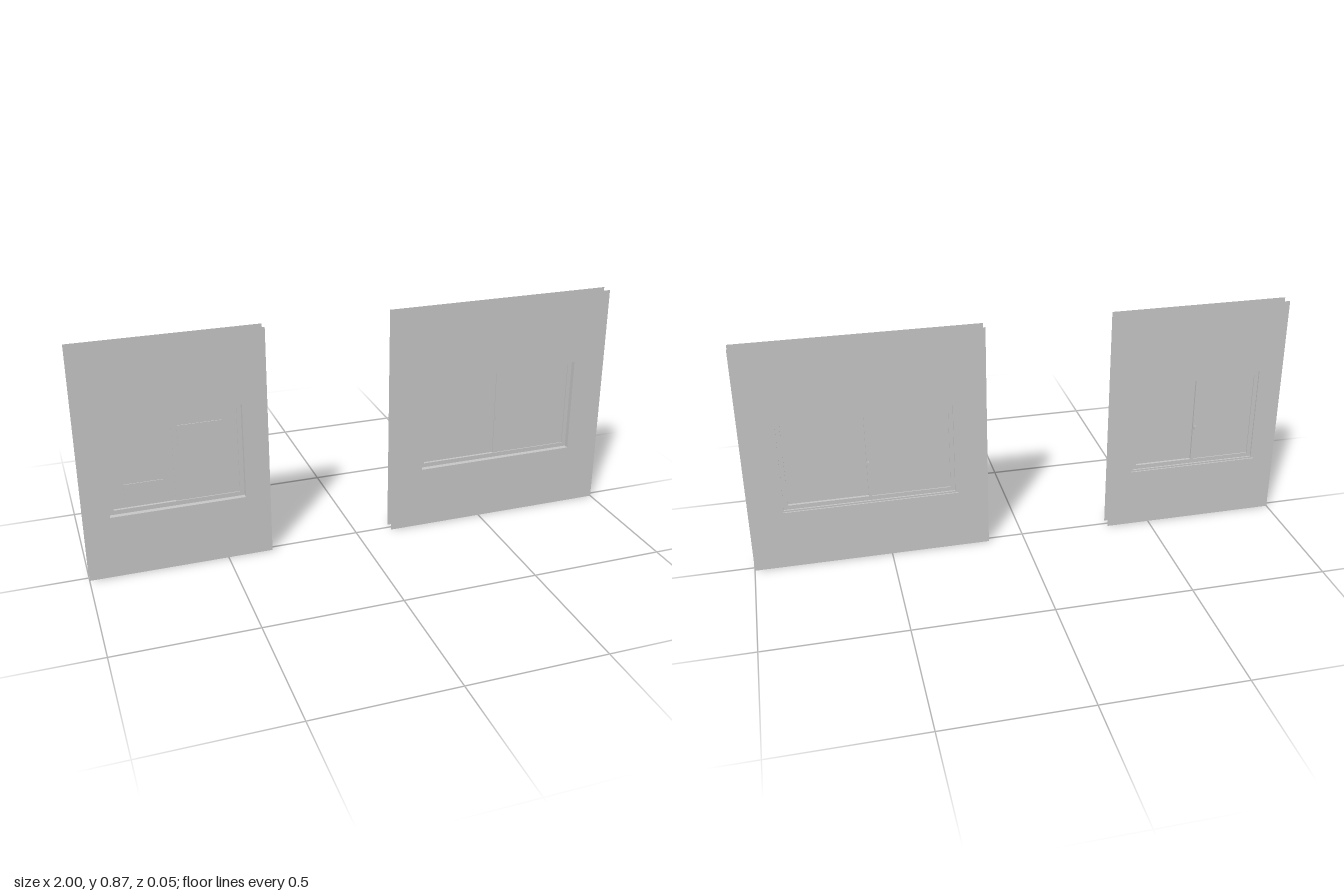
import * as THREE from 'three';

const FRONT = 0.021, BACK = -0.02, WALL_H = 0.866;
const Y0 = 0.235, Y1 = 0.595;

export function createModel() {
  const root = new THREE.Group();
  root.name = 'windowWalls';
  const grey = new THREE.MeshStandardMaterial({ color: 0xc8c8c8, side: THREE.DoubleSide });
  grey.name = 'light grey';

  const add = (group, name, geometry) => {
    const mesh = new THREE.Mesh(geometry, grey);
    mesh.name = name;
    group.add(mesh);
    return mesh;
  };

  // Box given by its minimum and maximum corners
  const box = (group, name, x0, x1, y0, y1, z0, z1) => {
    const mesh = add(group, name, new THREE.BoxGeometry(x1 - x0, y1 - y0, z1 - z0));
    mesh.position.set((x0 + x1) / 2, (y0 + y1) / 2, (z0 + z1) / 2);
  };

  const rect = (Type, x0, x1, y0, y1) => new Type([
    new THREE.Vector2(x0, y0), new THREE.Vector2(x1, y0),
    new THREE.Vector2(x1, y1), new THREE.Vector2(x0, y1),
  ]);

  // Four bars around an opening
  const frame = (group, name, x0, x1, y0, y1, w, z0, z1) => {
    box(group, name + 'Bottom', x0, x1, y0, y0 + w, z0, z1);
    box(group, name + 'Top', x0, x1, y1 - w, y1, z0, z1);
    box(group, name + 'Right', x0, x0 + w, y0 + w, y1 - w, z0, z1);
    box(group, name + 'Left', x1 - w, x1, y0 + w, y1 - w, z0, z1);
  };

  const buildWall = (name, wx0, wx1, x0, x1) => {
    const g = new THREE.Group();
    g.name = name;
    root.add(g);

    // Two open wall skins with a window opening
    for (const [skin, z] of [['frontSkin', FRONT], ['backSkin', BACK]]) {
      const shape = rect(THREE.Shape, wx0, wx1, 0, WALL_H);
      shape.holes.push(rect(THREE.Path, x0, x1, Y0, Y1));
      add(g, skin, new THREE.ShapeGeometry(shape)).position.z = z;
    }

    // Reveal lining the opening
    frame(g, 'reveal', x0 - 0.001, x1 + 0.001, Y0 - 0.001, Y1 + 0.001, 0.001, BACK, FRONT);

    // Fixed window frame
    frame(g, 'frame', x0, x1, Y0, Y1, 0.016, -0.014, 0.002);

    // Two sliding sashes, one behind the other
    const mid = (x0 + x1) / 2, a = x0 + 0.014, b = x1 - 0.014;
    const lo = Y0 + 0.014, hi = Y1 - 0.014;
    box(g, 'rightPane', a, mid + 0.006, lo, hi, -0.010, -0.008);
    box(g, 'leftPane', mid - 0.006, b, lo, hi, -0.004, -0.002);
    box(g, 'meetingStile', mid - 0.005, mid + 0.006, lo, hi, -0.014, -0.005);

    // Latch on both sides of the meeting stile
    box(g, 'latch', mid - 0.003, mid + 0.003, 0.378, 0.393, -0.022, -0.014);
    box(g, 'frontLatch', mid - 0.003, mid + 0.003, 0.385, 0.4, -0.002, 0.001);

    // Inner sill board with a small lip
    box(g, 'sill', x0 - 0.01, x1 + 0.004, 0.226, 0.229, -0.025, -0.007);
    box(g, 'sillLip', x0 - 0.01, x1 + 0.004, 0.223, 0.226, -0.025, -0.023);
    return g;
  };

  const small = buildWall('smallWall', -1, -0.335, -0.908, -0.426);
  buildWall('largeWall', 0.134, 1, 0.256, 0.874);

  // Thin signs at the front of the small window
  box(small, 'lowerSign', -0.853, -0.717, 0.287, 0.355, 0.0215, 0.0245);
  box(small, 'upperSign', -0.657, -0.497, 0.469, 0.549, 0.0215, 0.0245);
  return root;
}
